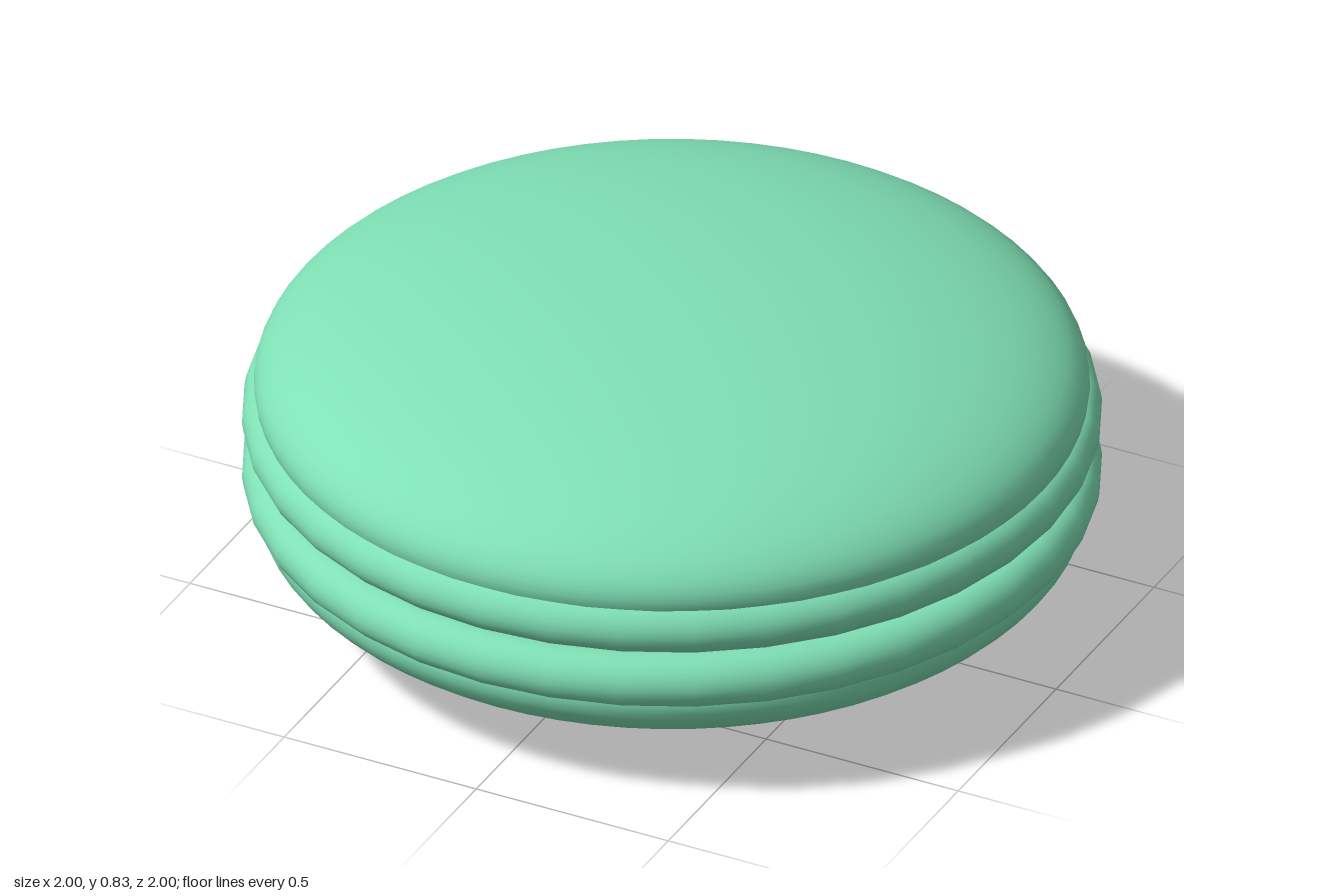
import * as THREE from 'three';

export function createModel() {
  const model = new THREE.Group();
  model.name = 'macaron';
  const mint = new THREE.MeshStandardMaterial({ color: 0x7fe0b5 });
  mint.name = 'mint shell';
  const cream = new THREE.MeshStandardMaterial({ color: 0xf3dfc8 });
  cream.name = 'cream filling';

  const midY = 0.414;
  const add = (name, geometry, material, y) => {
    const mesh = new THREE.Mesh(geometry, material);
    mesh.name = name;
    mesh.position.y = y;
    model.add(mesh);
    return mesh;
  };

  // Flattened dome and ring-shaped foot, shared by both halves
  const domeGeometry = new THREE.SphereGeometry(1, 72, 40).scale(0.97, 0.27, 0.97);
  const footGeometry = new THREE.TorusGeometry(0.933, 0.066, 20, 36).rotateX(Math.PI / 2);

  for (const [half, side] of [['upper', 1], ['lower', -1]]) {
    add(half + 'Shell', domeGeometry, mint, midY + side * 0.144);
    add(half + 'Foot', footGeometry, mint, midY - 0.012 + side * 0.074 + 0.0);
  }

  // Thin disc of filling showing between the feet
  add('filling', new THREE.CylinderGeometry(0.92, 0.92, 0.08, 64), cream, midY - 0.012);
  return model;
}
